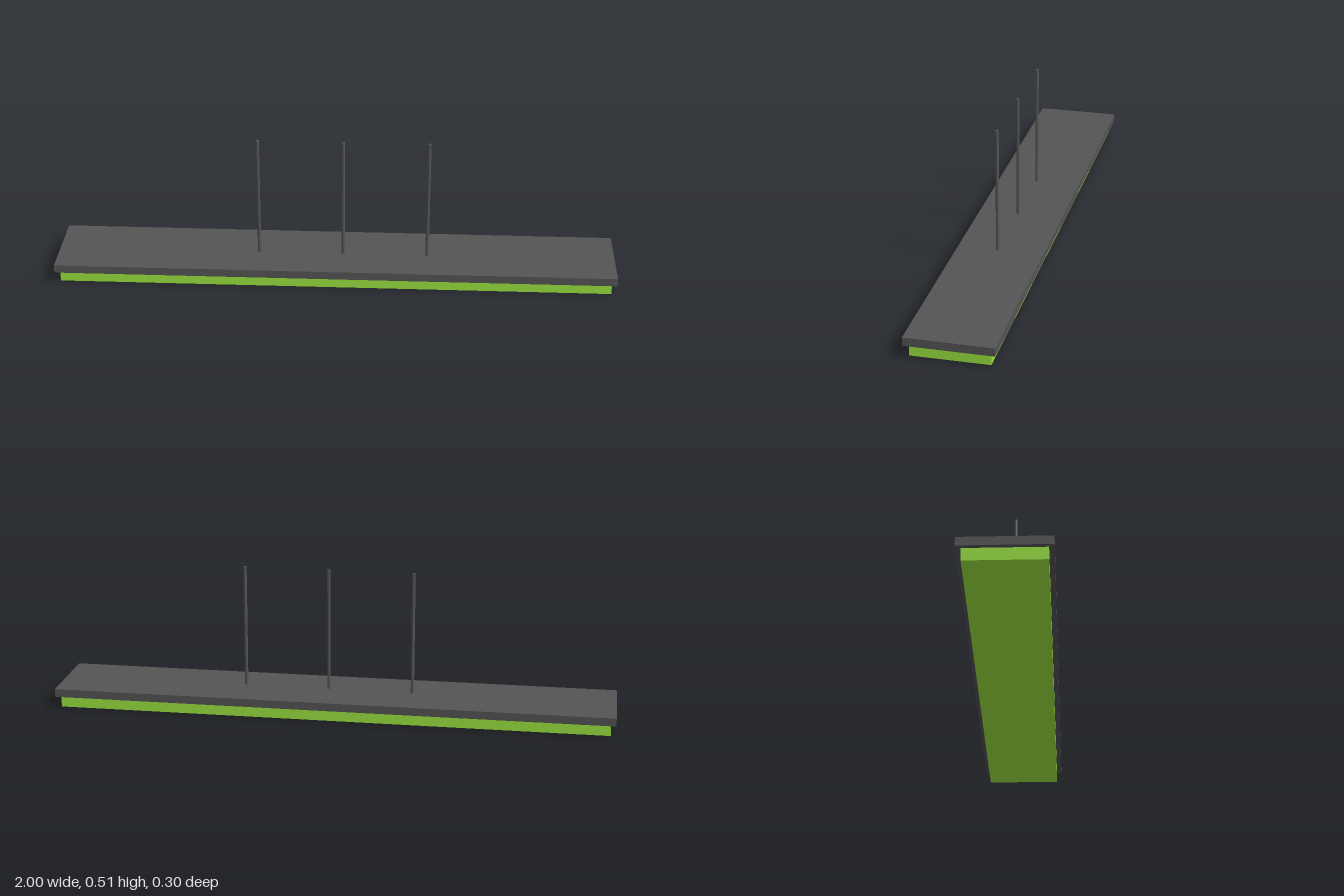
import * as THREE from 'three';

export function createModel() {
  const model = new THREE.Group();
  model.name = 'suspendedPanel';

  const darkGrey = new THREE.MeshStandardMaterial({ color: 0x555555 });
  darkGrey.name = 'dark grey';
  const green = new THREE.MeshStandardMaterial({ color: 0x9be53f });
  green.name = 'green';

  const add = (name, geometry, material, x, y, z) => {
    const mesh = new THREE.Mesh(geometry, material);
    mesh.name = name;
    mesh.position.set(x, y, z);
    model.add(mesh);
  };

  // Green lower slab, slightly inset under the dark top plate
  const slabHeight = 0.042, plateTop = 0.071, rodTop = 0.514;
  add('lowerSlab', new THREE.BoxGeometry(1.965, slabHeight, 0.266), green, 0, slabHeight / 2, 0);
  add('topPlate', new THREE.BoxGeometry(2, plateTop - slabHeight, 0.3), darkGrey, 0, (plateTop + slabHeight) / 2, 0);

  // Three thin upright rods
  const rodLength = rodTop - plateTop;
  const rod = new THREE.CylinderGeometry(0.006, 0.006, rodLength, 12);
  [-0.276, 0.026, 0.328].forEach((x, i) =>
    add(`rod${i + 1}`, rod, darkGrey, x, plateTop + rodLength / 2, 0.01));

  return model;
}
